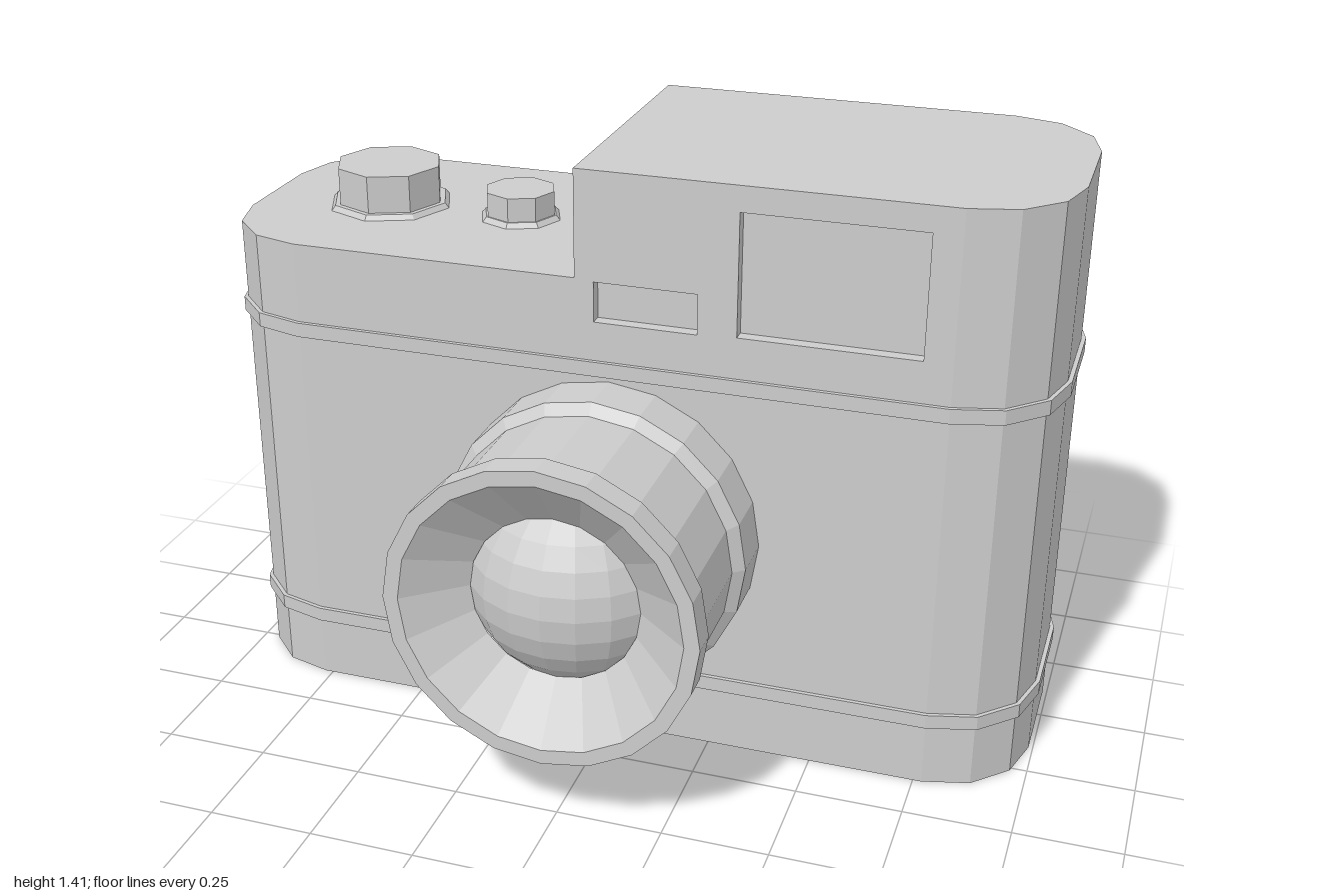
import * as THREE from 'three';

const MID_Z = -0.23;              // depth centre of the body
const CX = 0.77, CZ = 0.13;       // centres of the rounded corners, relative to MID_Z
const R = 0.22, STEP_X = -0.08, LOW = 1.158, HIGH = 1.41, RECESS = 0.03;

export function createModel() {
  const grey = new THREE.MeshStandardMaterial({ color: 0xcccccc, flatShading: true });
  grey.name = 'plain grey';
  const model = new THREE.Group();
  model.name = 'camera';

  const add = (name, geometry, x = 0, y = 0, z = 0) => {
    const mesh = new THREE.Mesh(geometry, grey);
    mesh.name = name;
    mesh.position.set(x, y, z);
    model.add(mesh);
    return mesh;
  };
  const toShape = (pts) => new THREE.Shape(pts.map(([x, y]) => new THREE.Vector2(x, y)));
  const extrude = (shape, depth) => new THREE.ExtrudeGeometry(shape, { depth, bevelEnabled: false });

  // Rounded end of the plan outline, three facets per corner; side is +1 or -1
  const endPoints = (side, r) => {
    const pts = [];
    for (const s of [-1, 1]) {
      for (let i = 0; i <= 3; i++) {
        const a = (s < 0 ? i - 3 : i) * Math.PI / 6;
        pts.push([side * (CX + r * Math.cos(a)), s * CZ + r * Math.sin(a)]);
      }
    }
    return side > 0 ? pts : pts.reverse();
  };
  const prism = (pts, height) => extrude(toShape(pts), height).rotateX(-Math.PI / 2);

  // Body: stepped middle section, with thin plates front and back holding the window recesses
  const middle = (windows) => {
    const shape = toShape([[-CX, 0], [CX, 0], [CX, HIGH], [STEP_X, HIGH], [STEP_X, LOW], [-CX, LOW]]);
    for (const [x0, y0, x1, y1] of windows) {
      shape.holes.push(new THREE.Path([[x0, y0], [x0, y1], [x1, y1], [x1, y0]]
        .map(([x, y]) => new THREE.Vector2(x, y))));
    }
    return shape;
  };
  const half = CZ + R;
  const viewfinder = [0.295, 1.063, 0.705, 1.35];
  const rangefinder = [-0.035, 1.058, 0.205, 1.153];
  add('bodyCore', extrude(middle([]), 2 * (half - RECESS)), 0, 0, MID_Z - half + RECESS);
  add('frontPlate', extrude(middle([viewfinder, rangefinder]), RECESS), 0, 0, MID_Z + half - RECESS);
  add('backPlate', extrude(middle([viewfinder]), RECESS), 0, 0, MID_Z - half);

  // Rounded body ends: tall on the left, low on the right
  add('leftEnd', prism(endPoints(1, R), HIGH), 0, 0, MID_Z);
  add('rightEnd', prism(endPoints(-1, R), LOW), 0, 0, MID_Z);

  // Trim bands around the body
  const bandOutline = [...endPoints(1, R + 0.01), ...endPoints(-1, R + 0.01)];
  for (const [name, y] of [['lowerBand', 0.155], ['upperBand', 0.93]]) {
    add(name, prism(bandOutline, 0.035), 0, y, MID_Z);
  }

  // Lens barrel: rear flange, waist, front rim and inner cone
  const profile = [[0.36, 0.1], [0.36, 0.235], [0.335, 0.257], [0.335, 0.507], [0.36, 0.53],
    [0.36, 0.595], [0.325, 0.595], [0.197, 0.49]].map(([r, z]) => new THREE.Vector2(r, z));
  const LENS_Y = 0.557;
  add('lensBarrel', new THREE.LatheGeometry(profile, 20).rotateX(Math.PI / 2), 0, LENS_Y, 0);

  // Domed glass
  add('lensGlass', new THREE.SphereGeometry(0.25, 20, 14), 0, LENS_Y, 0.336);

  // Eight-sided top dials, each on a thin collar
  const dial = (name, x, collarR, knobR, top) => {
    add(name + 'Collar', new THREE.CylinderGeometry(collarR - 0.01, collarR, 0.012, 8), x, LOW + 0.006, MID_Z);
    add(name, new THREE.CylinderGeometry(knobR, knobR, top - LOW, 8), x, (top + LOW) / 2, MID_Z);
  };
  dial('windingDial', -0.68, 0.153, 0.13, 1.26);
  dial('shutterDial', -0.34, 0.1, 0.086, 1.228);

  return model;
}
